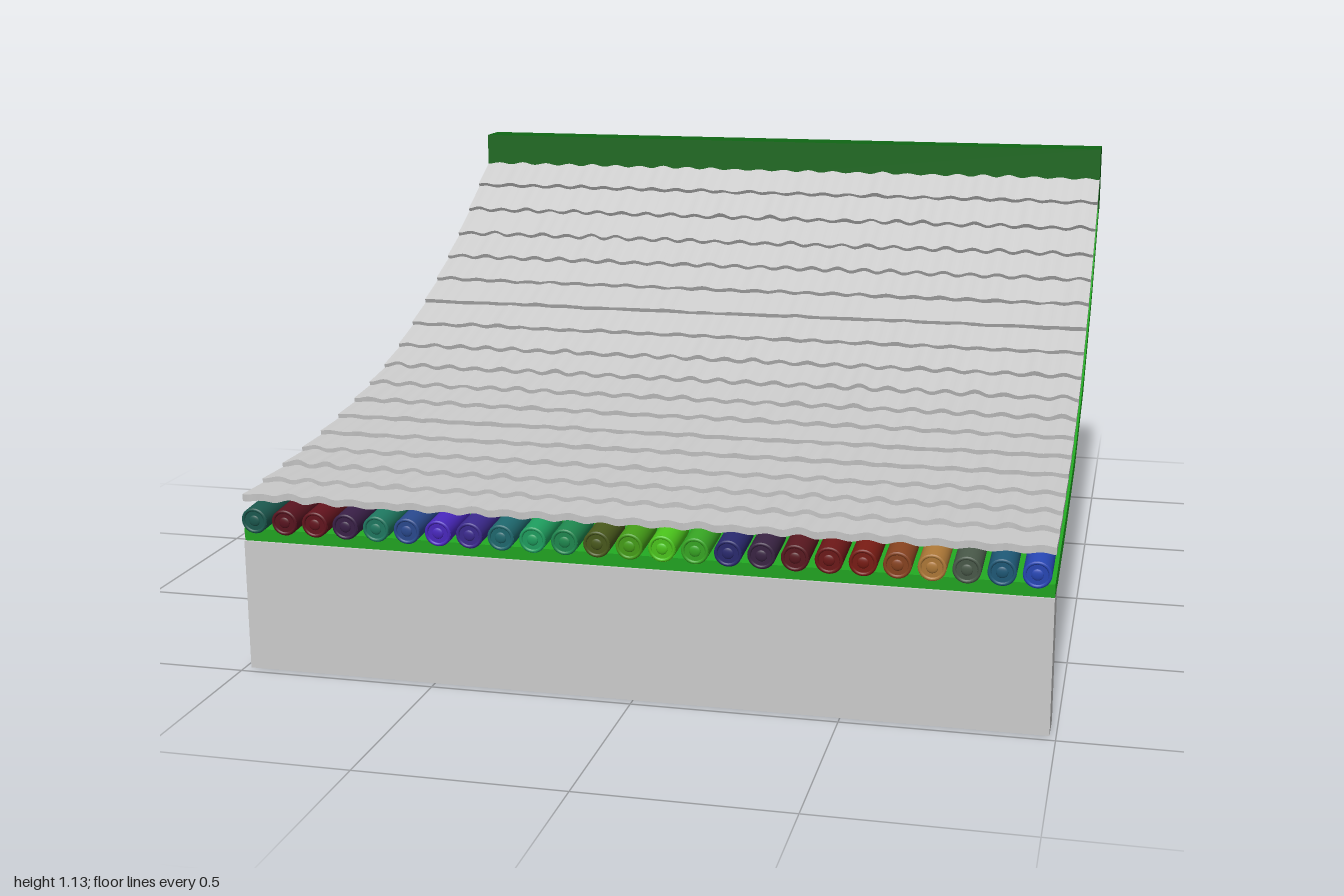
import * as THREE from 'three';

const HALF = 0.985, COLUMNS = 25, ROWS = 17;
const PITCH = 2 * HALF / COLUMNS;

const material = (color) => new THREE.MeshStandardMaterial({ color });

function addMesh(parent, name, geometry, mat) {
  const mesh = new THREE.Mesh(geometry, mat);
  mesh.name = name;
  parent.add(mesh);
  return mesh;
}

// Small repeatable irregularity, -1 to 1
function wobble(a, b) {
  const s = Math.sin(a * 12.99 + b * 78.23) * 43758.55;
  return 2 * (s - Math.floor(s)) - 1;
}

// Polyline in (z, y) thickened and swept across the full width
function slabGeometry(points, thickness) {
  const pts = points.map(([z, y]) => new THREE.Vector2(z, y));
  const side = (sign) => pts.map((p, i) => {
    const a = pts[Math.max(i - 1, 0)], b = pts[Math.min(i + 1, pts.length - 1)];
    const d = b.clone().sub(a).normalize();
    return new THREE.Vector2(p.x + d.y * sign * thickness / 2, p.y - d.x * sign * thickness / 2);
  });
  const shape = new THREE.Shape([...side(1), ...side(-1).reverse()]);
  const geometry = new THREE.ExtrudeGeometry(shape, { depth: 2 * HALF, bevelEnabled: false });
  return geometry.translate(0, 0, -HALF).rotateY(-Math.PI / 2);
}

// One overlapping course of tiles: a thin tilted strip, rippled along x
function courseGeometry(front, back, row) {
  const steps = COLUMNS * 8;
  const dir = back.clone().sub(front).normalize();
  const normal = new THREE.Vector3(0, -dir.z, dir.y);
  const section = (i) => {
    const x = -HALF + 2 * HALF * i / steps;
    const t = x / PITCH, tile = Math.floor(i / 8);
    const blend = (1 - Math.cos((i % 8) / 8 * Math.PI * 2)) / 2;
    const ripple = 0.003 * Math.cos(t * Math.PI * 2) + 0.002 * blend * wobble(tile, row);
    const lip = 0.004 * Math.sin(t * Math.PI * 2 + row) + 0.004 * blend * wobble(row, tile + 5);
    const corner = (base, along, lift) =>
      base.clone().addScaledVector(dir, along).addScaledVector(normal, lift).setX(x);
    return [
      corner(front, lip, 0.012 + ripple), corner(back, 0.015, -0.001 + ripple),
      corner(back, 0.015, -0.013 + ripple), corner(front, lip, -0.006 + ripple),
    ];
  };
  const sections = Array.from({ length: steps + 1 }, (_, i) => section(i));
  const position = [], index = [];
  const put = (...corners) => {
    const start = position.length / 3;
    corners.forEach((c) => position.push(c.x, c.y, c.z));
    return start;
  };
  // Each long face has its own vertices so the edges stay sharp
  for (let k = 0; k < 4; k++) {
    sections.forEach((s, i) => {
      const v = put(s[k], s[(k + 1) % 4]);
      if (i < steps) index.push(v, v + 2, v + 3, v, v + 3, v + 1);
    });
  }
  // End caps
  const l = put(...sections[0]), r = put(...sections[steps]);
  index.push(l, l + 1, l + 2, l, l + 2, l + 3, r, r + 3, r + 2, r, r + 2, r + 1);
  const geometry = new THREE.BufferGeometry();
  geometry.setAttribute('position', new THREE.Float32BufferAttribute(position, 3));
  geometry.setIndex(index);
  geometry.computeVertexNormals();
  return geometry;
}

export function createModel() {
  const roof = new THREE.Group();
  roof.name = 'roofSection';
  const grey = material(0xcccccc);

  // Supporting wall beam under the eave
  addMesh(roof, 'wallBeam', new THREE.BoxGeometry(2 * HALF, 0.33, 0.095), grey)
    .position.set(0, 0.165, 0.928);

  // Curved roof deck
  const deckLine = [[0.97, 0.34], [0.53, 0.378], [0.14, 0.428], [-0.25, 0.543], [-0.62, 0.728], [-0.95, 0.958]];
  addMesh(roof, 'roofDeck', slabGeometry(deckLine, 0.045), material(0x22a822));

  // Ridge beam along the back
  addMesh(roof, 'ridgeBeam', new THREE.BoxGeometry(2 * HALF, 0.195, 0.097), material(0x0f6614))
    .position.set(0, 1.0375, -0.9515);

  // Tile courses following the sweep of the roof
  const sweep = new THREE.CatmullRomCurve3([
    [0.972, 0.44], [0.6, 0.47], [0.27, 0.517], [0, 0.577], [-0.3, 0.695], [-0.6, 0.848], [-0.905, 1.045],
  ].map(([z, y]) => new THREE.Vector3(0, y, z)));
  const courses = new THREE.Group();
  courses.name = 'tileCourses';
  roof.add(courses);
  for (let row = 0; row < ROWS; row++) {
    const geometry = courseGeometry(sweep.getPointAt(row / ROWS), sweep.getPointAt((row + 1) / ROWS), row);
    addMesh(courses, 'tileCourse', geometry, grey);
  }

  // Coloured round eave tiles with a raised rim and a central boss
  const colors = [
    0x1c5a50, 0x5a1420, 0x64141e, 0x3a2048, 0x1f7a62, 0x2a4a90, 0x4a28c0, 0x3c2a90, 0x1f6a70,
    0x1fa060, 0x1f8a50, 0x4a5a1c, 0x46a018, 0x4cc81c, 0x38a824, 0x2a2a70, 0x3a2444, 0x5a1820,
    0x6e1818, 0x7a1c14, 0x8a4420, 0xb07a38, 0x4a5a4a, 0x1f5a78, 0x2848b8,
  ];
  const body = new THREE.CylinderGeometry(0.033, 0.033, 0.136, 24).rotateX(Math.PI / 2);
  const rim = new THREE.TorusGeometry(0.0285, 0.0045, 8, 24);
  const boss = new THREE.SphereGeometry(0.014, 16, 8, 0, Math.PI * 2, 0, Math.PI / 2)
    .rotateX(Math.PI / 2).scale(1, 1, 0.3);
  colors.forEach((color, i) => {
    const tile = new THREE.Group();
    tile.name = 'eaveTile';
    const mat = material(color);
    addMesh(tile, 'tileBody', body, mat);
    addMesh(tile, 'tileRim', rim, mat).position.z = 0.067;
    addMesh(tile, 'tileBoss', boss, mat).position.z = 0.068;
    tile.position.set(-HALF + PITCH * (i + 0.5), 0.395, 0.927);
    tile.rotation.x = 0.07;
    roof.add(tile);
  });
  return roof;
}
